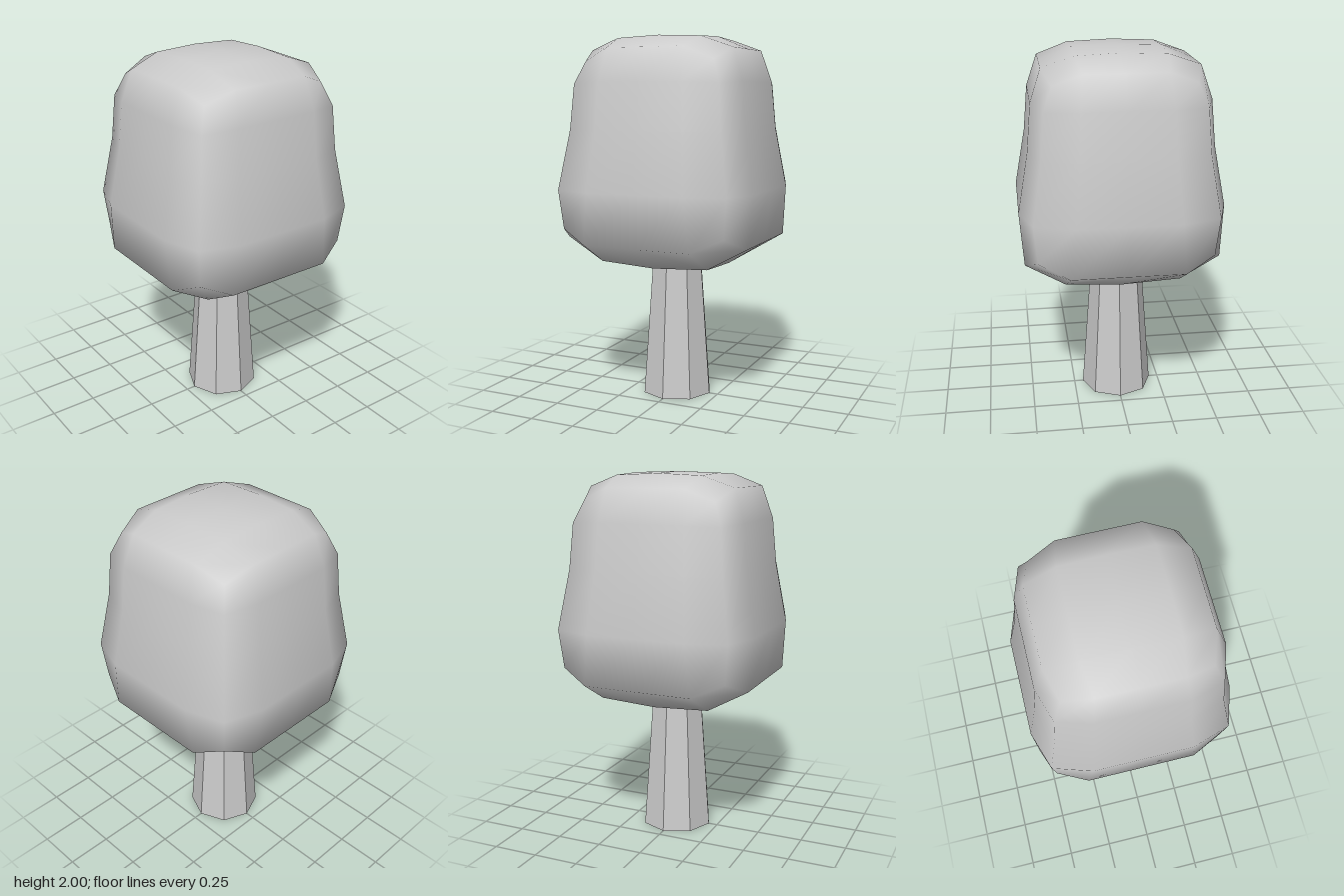
import * as THREE from 'three';
import { mergeVertices } from 'three/addons/utils/BufferGeometryUtils.js';

// Rings of the crown from bottom to top:
// flat = distance of the side, inner = half width of the flat part, corner = corner distance
const RINGS = [
  { y: 0.9, cornerY: 0.97, flat: 0.525, inner: 0.3, corner: 0.46 },
  { y: 1.18, cornerY: 1.18, flat: 0.547, inner: 0.272, corner: 0.48 },
  { y: 1.5, cornerY: 1.5, flat: 0.49, inner: 0.245, corner: 0.43 },
  { y: 1.75, cornerY: 1.74, flat: 0.468, inner: 0.235, corner: 0.412 },
  { y: 1.923, cornerY: 1.86, flat: 0.41, inner: 0.215, corner: 0.365 },
];

// Inner part of the bottom and top: heights at the centre, halfway and on the diagonal
const CAPS = {
  bottom: { inner: 0.31, heights: [0.75, 0.763, 0.78] },
  top: { inner: 0.24, heights: [2.0, 1.993, 1.983] },
};

// Places one point of a 4 x 4 x 4 grid box (indices -2..2) on the rounded crown
function crownPoint(i, j, k) {
  const ax = Math.abs(i), az = Math.abs(k);
  const sx = Math.sign(i), sz = Math.sign(k);
  if (ax < 2 && az < 2) {
    const cap = j > 0 ? CAPS.top : CAPS.bottom;
    return [sx * cap.inner, cap.heights[ax + az], sz * cap.inner];
  }
  const r = RINGS[j + 2];
  if (ax === 2 && az === 2) return [sx * r.corner, r.cornerY, sz * r.corner];
  return [sx * (ax === 2 ? r.flat : r.inner), r.y, sz * (az === 2 ? r.flat : r.inner)];
}

function crownGeometry() {
  const box = new THREE.BoxGeometry(4, 4, 4, 4, 4, 4);
  box.deleteAttribute('normal');
  box.deleteAttribute('uv');
  const geometry = mergeVertices(box);
  const pos = geometry.attributes.position;
  for (let n = 0; n < pos.count; n++) {
    const [i, j, k] = [pos.getX(n), pos.getY(n), pos.getZ(n)].map(Math.round);
    pos.setXYZ(n, ...crownPoint(i, j, k));
  }
  geometry.computeVertexNormals();
  return geometry;
}

export function createModel() {
  const tree = new THREE.Group();
  tree.name = 'tree';

  // Tapered eight-sided trunk, running a little way into the crown
  const trunkHeight = 0.9;
  const trunk = new THREE.Mesh(
    new THREE.CylinderGeometry(0.135, 0.2, trunkHeight, 8),
    new THREE.MeshStandardMaterial({ color: 0xcccccc, flatShading: true })
  );
  trunk.position.y = trunkHeight / 2;
  trunk.name = 'trunk';

  // Smooth, boxy crown
  const crown = new THREE.Mesh(
    crownGeometry(),
    new THREE.MeshStandardMaterial({ color: 0xcccccc })
  );
  crown.name = 'crown';

  tree.add(trunk, crown);
  return tree;
}
